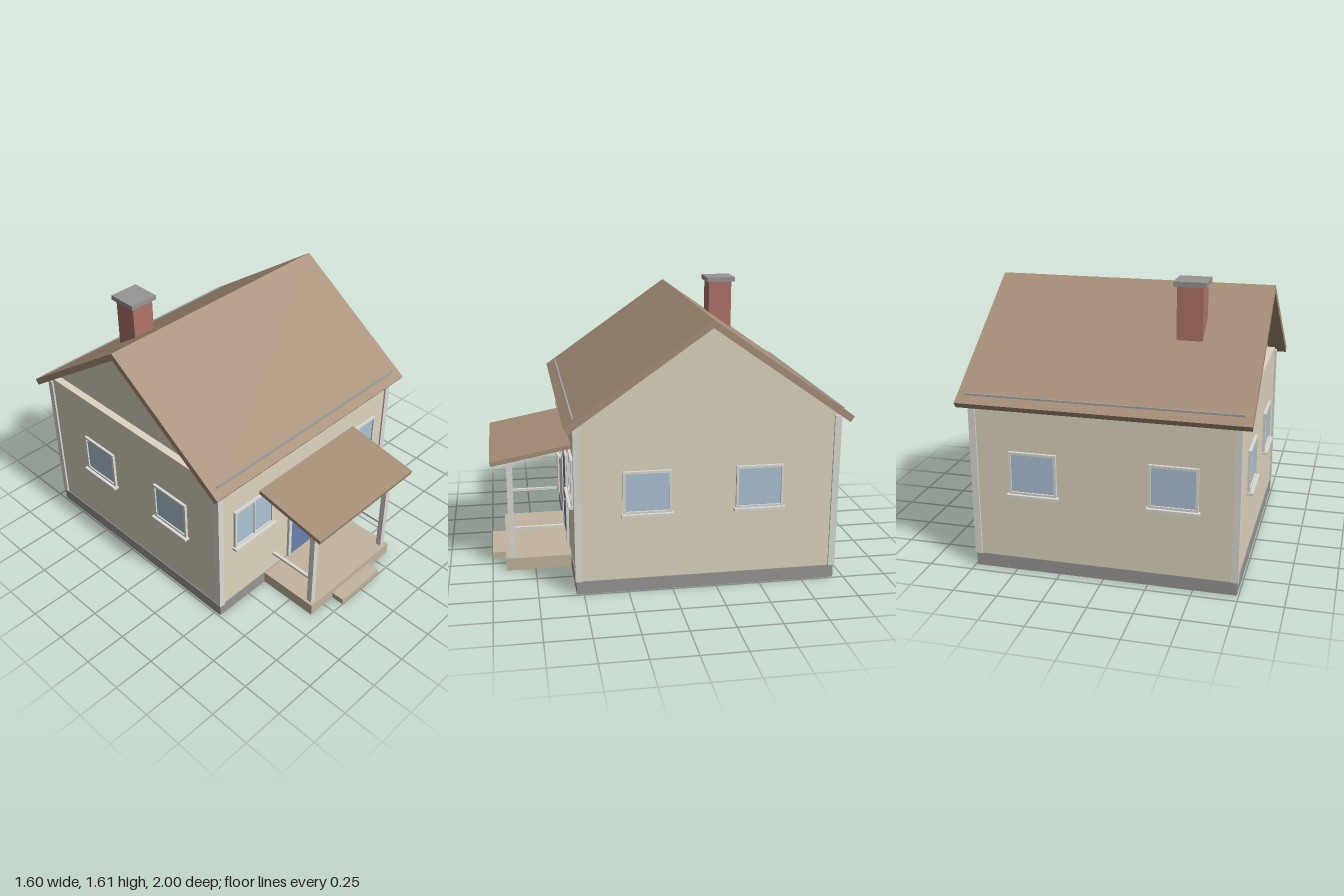
import * as THREE from 'three';

const mat = (color) => new THREE.MeshStandardMaterial({ color });
const M = {
  wall: mat(0xddd5bf), trim: mat(0xdcdbd4), stone: mat(0x989694), roof: mat(0xa68e77),
  glass: mat(0xadc3d4), door: mat(0x6a80ae), brick: mat(0xb0746a), porch: mat(0xc2b49e), metal: mat(0xa0a0a0),
};

function add(parent, name, geometry, material, x = 0, y = 0, z = 0) {
  const mesh = new THREE.Mesh(geometry, material);
  mesh.name = name;
  mesh.position.set(x, y, z);
  parent.add(mesh);
  return mesh;
}

// Box given by its min and max on each axis
function box(parent, name, material, [x0, x1], [y0, y1], [z0, z1]) {
  return add(parent, name, new THREE.BoxGeometry(x1 - x0, y1 - y0, z1 - z0), material,
    (x0 + x1) / 2, (y0 + y1) / 2, (z0 + z1) / 2);
}

function polygon(points) {
  return new THREE.Shape(points.map(([x, y]) => new THREE.Vector2(x, y)));
}

// Extrudes a (z, y) outline along x from x0 to x1
function alongX(parent, name, material, points, x0, x1) {
  const g = new THREE.ExtrudeGeometry(polygon(points.map(([z, y]) => [-z, y])), { depth: x1 - x0, bevelEnabled: false });
  g.rotateY(Math.PI / 2);
  return add(parent, name, g, material, x0);
}

// Window facing +z, its back on z = 0: frame, panes and sill
function makeWindow(w, h, panes) {
  const g = new THREE.Group();
  g.name = 'window';
  const t = 0.014;
  const shape = polygon([[-w / 2, -h / 2], [w / 2, -h / 2], [w / 2, h / 2], [-w / 2, h / 2]]);
  const pw = (w - t * 2 - (panes - 1) * 0.009) / panes;
  for (let i = 0; i < panes; i++) {
    const x0 = -w / 2 + t + i * (pw + 0.009), x1 = x0 + pw, y = h / 2 - t;
    shape.holes.push(polygon([[x0, -y], [x0, y], [x1, y], [x1, -y]]));
  }
  add(g, 'windowFrame', new THREE.ExtrudeGeometry(shape, { depth: 0.016, bevelEnabled: false }), M.trim);
  box(g, 'windowGlass', M.glass, [-w / 2 + 0.005, w / 2 - 0.005], [-h / 2 + 0.005, h / 2 - 0.005], [-0.005, 0.007]);
  box(g, 'windowSill', M.trim, [-w / 2 - 0.01, w / 2 + 0.01], [-h / 2 - 0.014, -h / 2 + 0.002], [0, 0.034]);
  return g;
}

export function createModel() {
  const model = new THREE.Group();
  model.name = 'cottage';
  const cz = -0.2, half = 0.735, wallTop = 0.99;
  const front = cz + half, back = cz - half;

  // Body
  box(model, 'foundation', M.stone, [-0.74, 0.74], [0, 0.075], [cz - 0.74, cz + 0.74]);
  box(model, 'walls', M.wall, [-half, half], [0.075, wallTop], [back, front]);
  alongX(model, 'gable', M.wall, [[front, wallTop], [cz, 1.5], [back, wallTop]], -0.69, 0.78);
  for (const sx of [-1, 1]) for (const sz of [-1, 1]) {
    add(model, 'cornerBoard', new THREE.BoxGeometry(0.038, 0.895, 0.038), M.trim, sx * 0.727, 0.5225, cz + sz * 0.727);
  }

  // Main roof slopes and their snow rails
  for (const s of [-1, 1]) {
    const pts = [[cz, 1.535], [cz + s * 0.798, 0.977], [cz + s * 0.776, 0.946], [cz, 1.49]];
    alongX(model, 'roofSlope', M.roof, s > 0 ? pts : pts.reverse(), -0.8, 0.8);
    add(model, 'roofRail', new THREE.BoxGeometry(1.51, 0.012, 0.012), M.metal, 0, 1.014, cz + s * 0.745);
  }

  // Chimney
  box(model, 'chimney', M.brick, [-0.461, -0.317], [1.2, 1.58], [-0.561, -0.417]);
  box(model, 'chimneyCap', M.stone, [-0.479, -0.3], [1.577, 1.605], [-0.58, -0.401]);

  // Windows
  function place(win, x, y, z, ry) {
    win.position.set(x, y, z);
    win.rotation.y = ry;
    model.add(win);
  }
  for (const s of [-1, 1]) {
    place(makeWindow(0.314, 0.267, 2), s * 0.463, 0.609, front, 0);
    place(makeWindow(0.27, 0.245, 1), s * 0.39, 0.583, back, Math.PI);
    for (const z of [0.143, -0.49]) place(makeWindow(0.27, 0.245, 1), s * half, 0.583, z, s * Math.PI / 2);
  }

  // Front door
  const surround = polygon([[-0.16, 0.075], [-0.135, 0.075], [-0.135, 0.597], [0.135, 0.597],
    [0.135, 0.075], [0.16, 0.075], [0.16, 0.627], [-0.16, 0.627]]);
  add(model, 'doorFrame', new THREE.ExtrudeGeometry(surround, { depth: 0.016, bevelEnabled: false }), M.trim, 0, 0, front);
  box(model, 'door', M.door, [-0.135, 0.135], [0.075, 0.597], [front - 0.01, front + 0.01]);
  add(model, 'doorKnob', new THREE.SphereGeometry(0.011, 16, 12), M.metal, 0.09, 0.32, front + 0.016);

  // Porch
  box(model, 'porchFloor', M.porch, [-0.362, 0.362], [0, 0.075], [front, 0.92]);
  box(model, 'porchStep', M.porch, [-0.17, 0.17], [0, 0.037], [0.91, 1]);
  for (const s of [-1, 1]) {
    add(model, 'porchPost', new THREE.BoxGeometry(0.034, 0.565, 0.034), M.trim, s * 0.328, 0.3575, 0.883);
    add(model, 'porchRail', new THREE.BoxGeometry(0.018, 0.015, 0.295), M.trim, s * 0.328, 0.25, 0.725);
  }
  box(model, 'porchBeam', M.trim, [-0.376, 0.376], [0.634, 0.678], [0.863, 0.902]);
  alongX(model, 'porchRoof', M.roof, [[front, 0.772], [0.993, 0.686], [0.988, 0.661], [front, 0.746]], -0.413, 0.413);

  return model;
}
